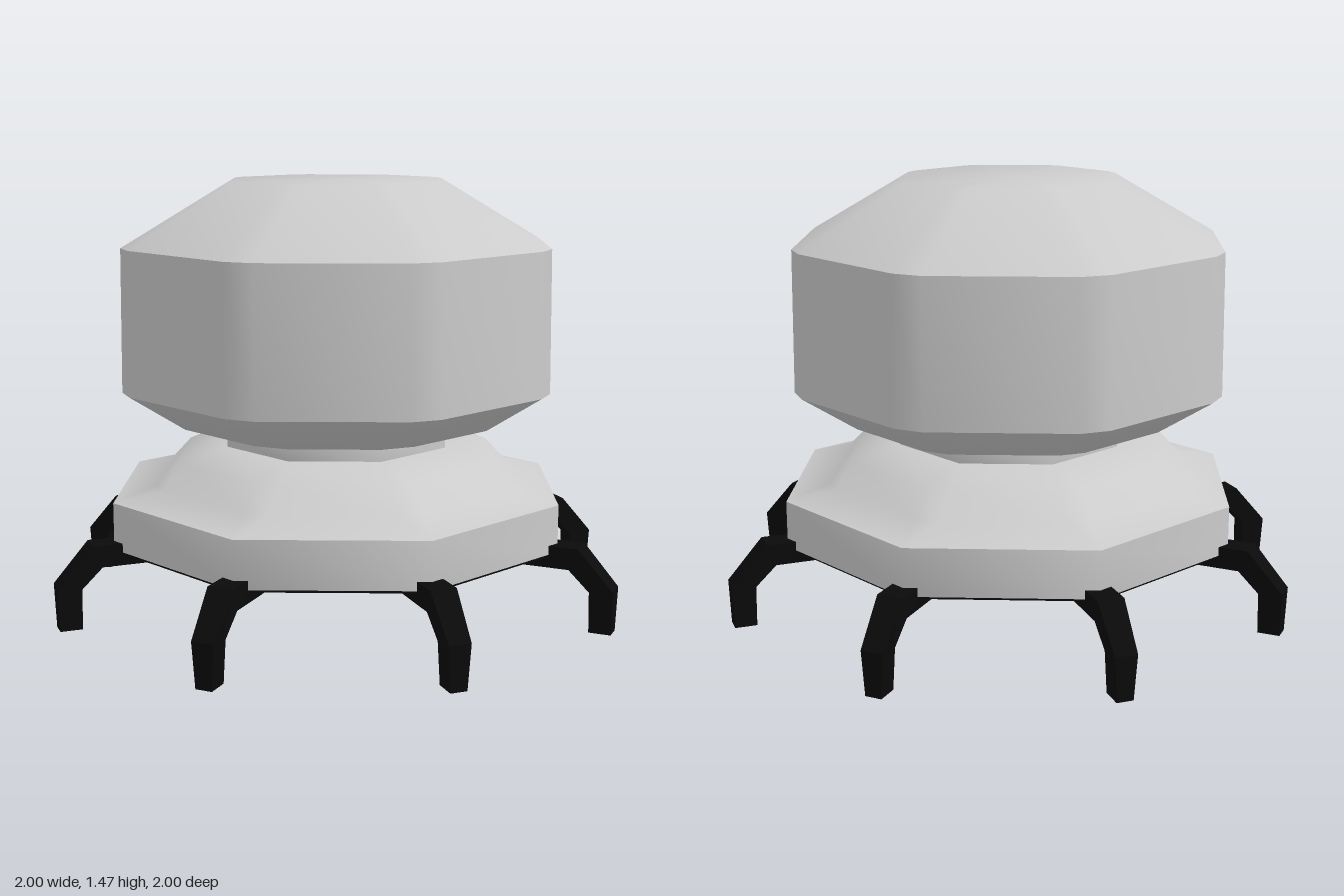
import * as THREE from 'three';
import { toCreasedNormals } from 'three/addons/utils/BufferGeometryUtils.js';

const grey = new THREE.MeshStandardMaterial({ color: 0xcccccc });
const black = new THREE.MeshStandardMaterial({ color: 0x0a0a0a });

function add(parent, name, geometry, material) {
  const mesh = new THREE.Mesh(geometry, material);
  mesh.name = name;
  parent.add(mesh);
  return mesh;
}

// Octagonal turned solid; each ring is [radius, y, half width of its corner bevel]
function octagonSolid(rings) {
  const geo = new THREE.LatheGeometry(rings.map(([r, y]) => new THREE.Vector2(r, y)), 16);
  const pos = geo.attributes.position;
  for (let i = 0; i <= 16; i++) {
    rings.forEach(([r, y, w], j) => {
      const bevel = r > 0 ? Math.asin(w / r) : 0;
      const a = Math.floor(i / 2) * Math.PI / 4 + (i % 2 ? bevel : -bevel);
      pos.setXYZ(i * rings.length + j, r * Math.sin(a), y, r * Math.cos(a));
    });
  }
  return toCreasedNormals(geo, 0.82);
}

// Bent leg: side profile extruded, then narrowed towards the foot
function legGeometry() {
  const shape = new THREE.Shape([
    [0.17, 0.21], [0.85, 0.21], [0.92, 0.14], [0.92, 0], [0.995, 0], [1, 0.15],
    [0.88, 0.285], [0.78, 0.285], [0.78, 0.25], [0.17, 0.25],
  ].map(([x, y]) => new THREE.Vector2(x, y)));
  const geo = new THREE.ExtrudeGeometry(shape, { depth: 2, bevelEnabled: false });
  geo.translate(0, 0, -1);
  const pos = geo.attributes.position;
  for (let i = 0; i < pos.count; i++) {
    const half = pos.getX(i) < 0.5 ? 0.03 : 0.028 + 0.016 * Math.min(1, pos.getY(i) / 0.26);
    pos.setZ(i, pos.getZ(i) * half);
  }
  geo.computeVertexNormals();
  return geo;
}

export function createModel() {
  const model = new THREE.Group();
  model.name = 'footedPod';

  // Stepped base
  add(model, 'base', octagonSolid([
    [0, 0.255, 0], [0.8, 0.255, 0], [0.8, 0.415, 0], [0.64, 0.452, 0.04],
    [0.56, 0.535, 0.04], [0.4, 0.575, 0], [0, 0.575, 0],
  ]), grey);

  // Narrow neck
  add(model, 'neck', octagonSolid([[0.4, 0.57, 0], [0.4, 0.62, 0]]), grey);

  // Bulky upper body with bevelled corners
  add(model, 'upperBody', octagonSolid([
    [0, 0.615, 0], [0.4, 0.615, 0], [0.562, 0.655, 0.045], [0.749, 0.777, 0.05],
    [0.744, 1.257, 0.05], [0.375, 1.47, 0.025], [0, 1.47, 0],
  ]), grey);

  // Dark underside plate
  add(model, 'undersidePlate', octagonSolid([
    [0, 0.245, 0], [0.79, 0.245, 0], [0.79, 0.256, 0], [0, 0.256, 0],
  ]), black);

  // Eight radiating legs
  const leg = legGeometry();
  for (let i = 0; i < 8; i++) {
    add(model, 'leg', leg, black).rotation.y = i * Math.PI / 4;
  }
  return model;
}
